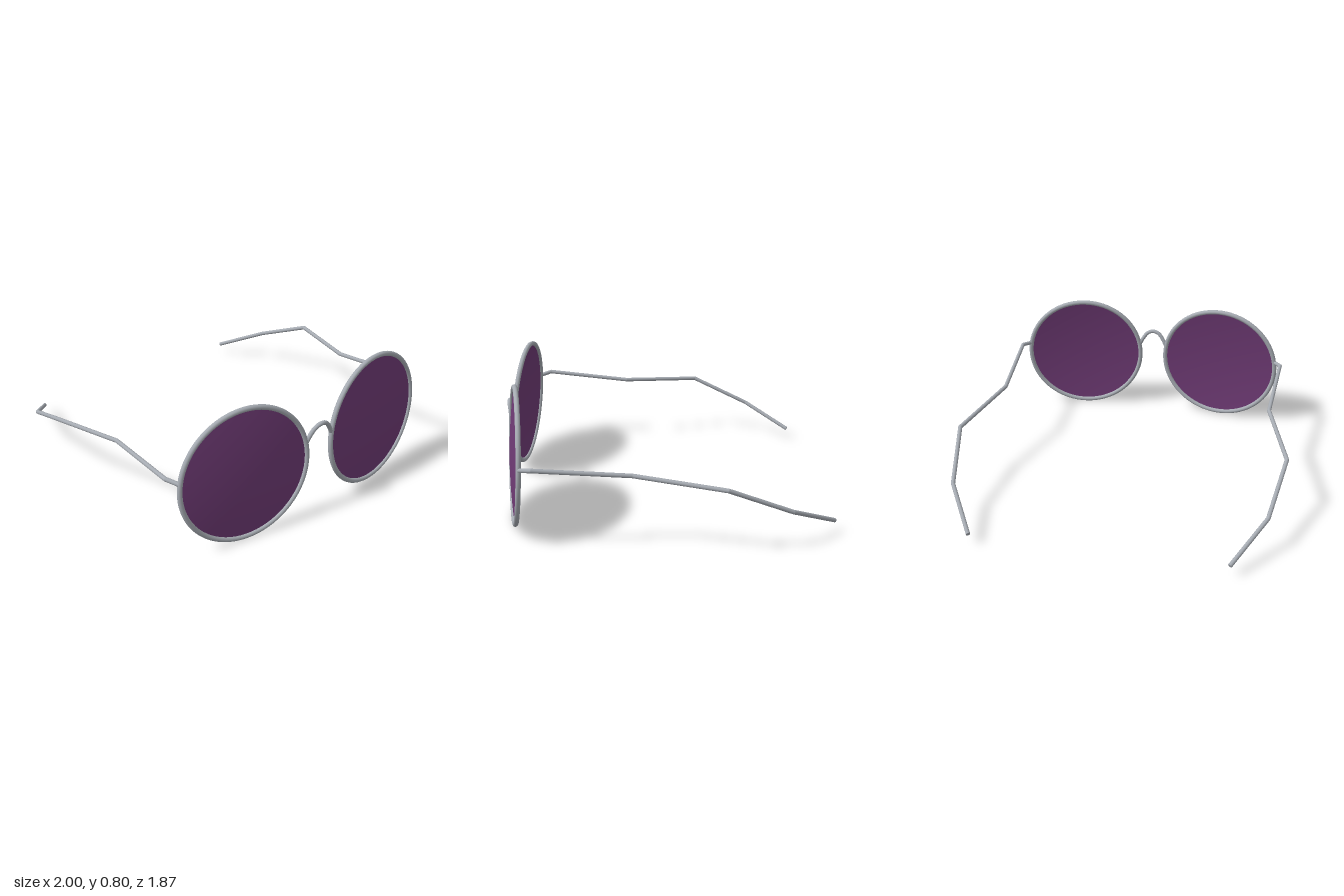
import * as THREE from 'three';

export function createModel() {
  const group = new THREE.Group();
  const metal = new THREE.MeshStandardMaterial({ name: 'silver metal', color: 0xa6abb2 });
  const tint = new THREE.MeshStandardMaterial({ name: 'purple lens', color: 0x6e3a74, side: THREE.DoubleSide });
  const v = (x, y, z) => new THREE.Vector3(x, y, z);

  const add = (parent, name, geometry, material) => {
    const mesh = new THREE.Mesh(geometry, material);
    mesh.name = name;
    parent.add(mesh);
    return mesh;
  };

  // Straight wire pieces with round joints at the bends
  const bentWire = (name, points, radius) => {
    const wire = new THREE.Group();
    wire.name = name;
    for (let i = 0; i < points.length - 1; i++) {
      const a = points[i], b = points[i + 1];
      const dir = b.clone().sub(a);
      const rod = add(wire, name + 'Segment', new THREE.CylinderGeometry(radius, radius, dir.length(), 12), metal);
      rod.position.copy(a).add(b).multiplyScalar(0.5);
      rod.quaternion.setFromUnitVectors(v(0, 1, 0), dir.normalize());
      if (i > 0) add(wire, name + 'Bend', new THREE.SphereGeometry(radius, 12, 8), metal).position.copy(a);
    }
    return wire;
  };

  // Shallow domed lens profile, spun around its axis
  const lensRadius = 0.386, bulge = 0.025;
  const profile = [];
  for (let i = 0; i <= 10; i++) {
    const t = i / 10;
    profile.push(new THREE.Vector2(lensRadius * t, bulge * (1 - t * t)));
  }
  const lensGeometry = new THREE.LatheGeometry(profile.reverse(), 64).rotateX(Math.PI / 2);
  const rimGeometry = new THREE.TorusGeometry(0.387, 0.0145, 14, 72);

  for (const [side, label] of [[1, 'left'], [-1, 'right']]) {
    // Round rim and lens, angled outward and leaning back
    const eye = new THREE.Group();
    eye.name = label + 'Eyepiece';
    add(eye, label + 'Rim', rimGeometry, metal);
    add(eye, label + 'Lens', lensGeometry, tint);
    eye.position.set(side * 0.471, 0.407, 0.857);
    eye.rotation.set(-0.065, side * 0.145, 0, 'YXZ');
    group.add(eye);

    // Temple arm: hinge, bow outward, then curl behind the ear
    const path = [
      v(0.853, 0.475, 0.795), v(0.89, 0.487, 0.728), v(0.852, 0.43, 0.2),
      v(0.985, 0.391, -0.295), v(0.912, 0.225, -0.658), v(0.735, 0.083, -0.93),
    ].map(p => p.setX(p.x * side));
    group.add(bentWire(label + 'Temple', path, 0.0125));
  }

  // Arched nose bridge
  const half = [v(0.093, 0.48, 0.907), v(0.07, 0.525, 0.912), v(0.038, 0.566, 0.919)];
  const arch = new THREE.CatmullRomCurve3([
    ...half.map(p => v(-p.x, p.y, p.z)), v(0, 0.579, 0.922), ...half.slice().reverse(),
  ]);
  add(group, 'bridge', new THREE.TubeGeometry(arch, 40, 0.0125, 12), metal);

  return group;
}
